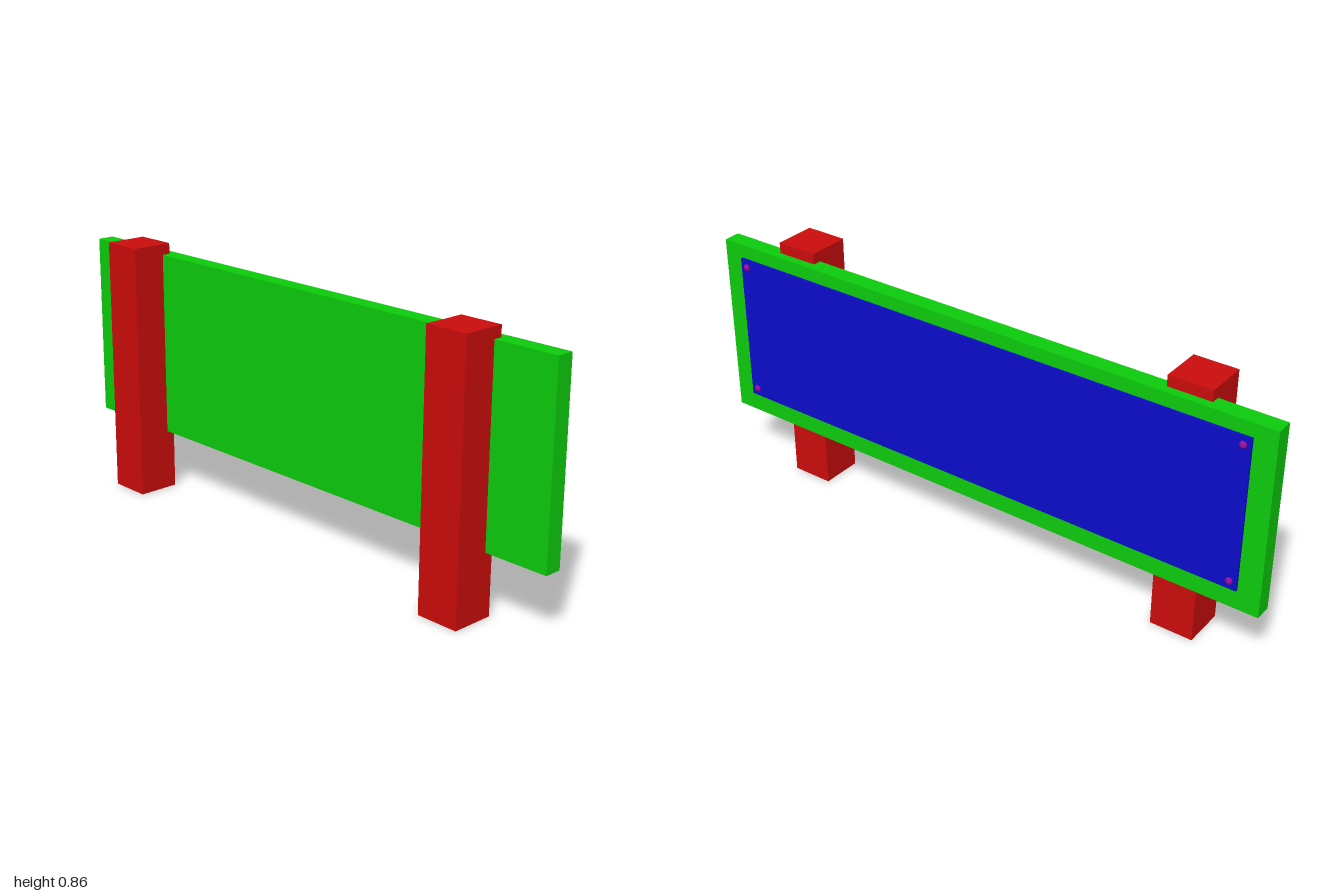
import * as THREE from 'three';

const paint = (color) => new THREE.MeshStandardMaterial({ color, flatShading: true });

// Axis-aligned block given by its lower and upper corners
function block(name, min, max, material) {
  const size = max.map((v, i) => v - min[i]);
  const mesh = new THREE.Mesh(new THREE.BoxGeometry(...size), material);
  mesh.position.set(...max.map((v, i) => (v + min[i]) / 2));
  mesh.name = name;
  return mesh;
}

export function createModel() {
  const model = new THREE.Group();
  model.name = 'signBoard';
  const red = paint(0xcc0c0c);
  const green = paint(0x0ccc0c);
  const blue = paint(0x0c0ccc);
  const purple = paint(0x990c99);

  // Backing board, let into the posts, and the thin face panel
  model.add(block('backingBoard', [0.019, 0.204, -1], [0.076, 0.821, 1], green));
  model.add(block('facePanel', [0.076, 0.271, -0.928], [0.085, 0.776, 0.928], blue));

  // Round-headed screws in the panel corners
  const screwHead = new THREE.SphereGeometry(0.0125, 8, 6);

  for (const side of [-1, 1]) {
    // Square posts
    const z = side * 0.714;
    const end = side > 0 ? 'front' : 'back';
    model.add(block(`${end}Post`, [-0.095, 0, z - 0.0715], [0.047, 0.857, z + 0.0715], red));

    for (const y of [0.298, 0.75]) {
      const screw = new THREE.Mesh(screwHead, purple);
      screw.name = `${end}${y > 0.5 ? 'Upper' : 'Lower'}Screw`;
      screw.position.set(0.0825, y, side * 0.904);
      model.add(screw);
    }
  }
  return model;
}
